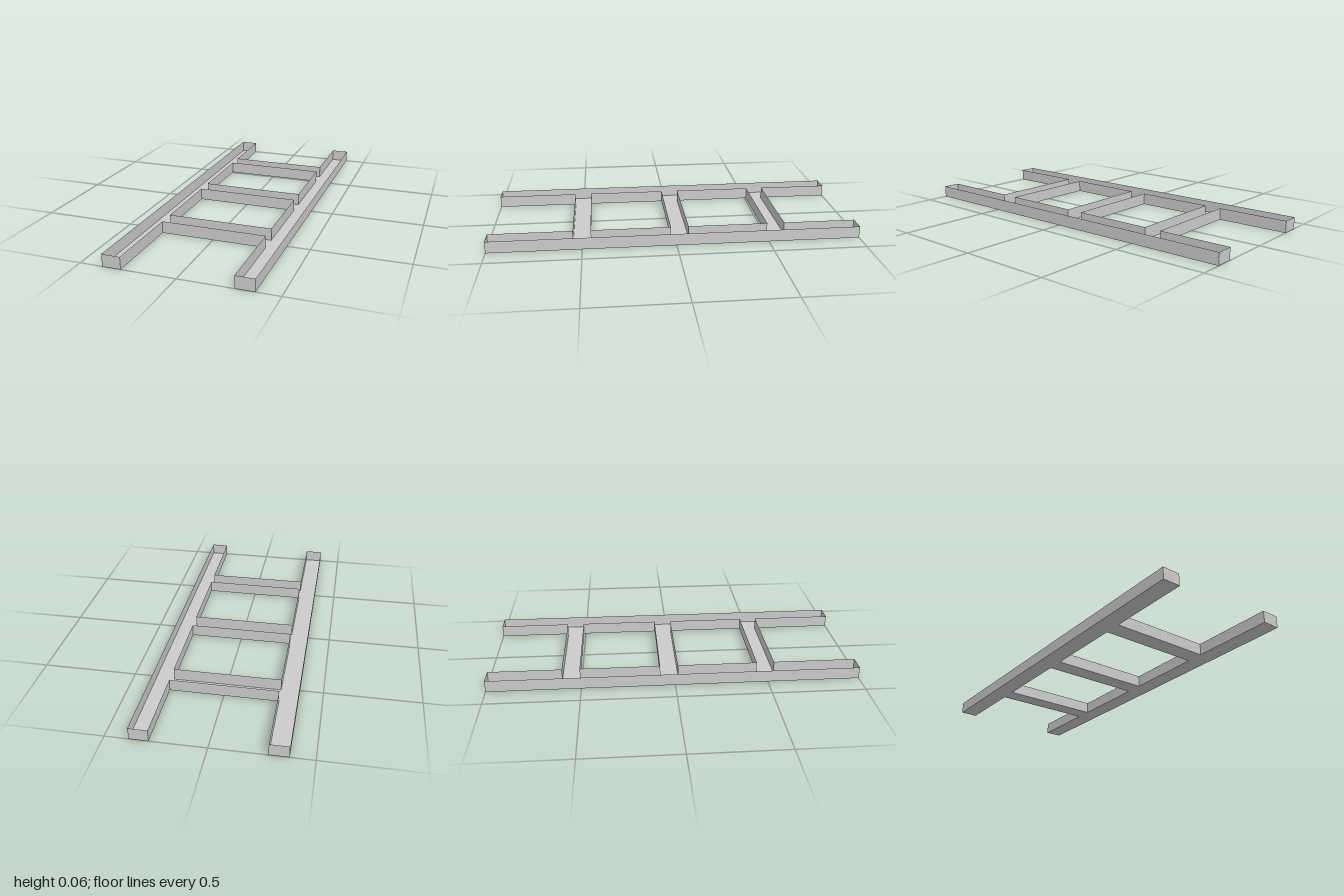
import * as THREE from 'three';

const HEIGHT = 0.065;
const OUTER = 0.38;
const INNER = 0.283;
const END = 1;
// Front-to-back extent of each rung
const RUNGS = [[-0.605, -0.51], [-0.075, 0.022], [0.455, 0.55]];

// Thin upright walls following a closed [x, z] loop
function wallsAlong(loop) {
  const positions = [];
  loop.forEach(([x0, z0], i) => {
    const [x1, z1] = loop[(i + 1) % loop.length];
    positions.push(
      x0, 0, z0, x0, HEIGHT, z0, x1, HEIGHT, z1,
      x0, 0, z0, x1, HEIGHT, z1, x1, 0, z1
    );
  });
  const geometry = new THREE.BufferGeometry();
  geometry.setAttribute('position', new THREE.Float32BufferAttribute(positions, 3));
  geometry.computeVertexNormals();
  return geometry;
}

const toPoints = (loop) => loop.map(([x, z]) => new THREE.Vector2(x, z));

export function createModel() {
  const group = new THREE.Group();
  group.name = 'ladderTray';
  const material = new THREE.MeshStandardMaterial({
    color: 0xcccccc, flatShading: true, side: THREE.DoubleSide,
  });
  const add = (name, geometry) => {
    const mesh = new THREE.Mesh(geometry, material);
    mesh.name = name;
    group.add(mesh);
  };

  // Ladder outline: two rails with open ends beyond the first and last rung
  const back = RUNGS[0][0];
  const front = RUNGS[RUNGS.length - 1][1];
  const outline = [
    [-OUTER, -END], [-INNER, -END], [-INNER, back], [INNER, back],
    [INNER, -END], [OUTER, -END], [OUTER, END], [INNER, END],
    [INNER, front], [-INNER, front], [-INNER, END], [-OUTER, END],
  ];

  // Openings between neighbouring rungs, wound the opposite way
  const openings = RUNGS.slice(1).map(([next], i) => {
    const start = RUNGS[i][1];
    return [[-INNER, start], [-INNER, next], [INNER, next], [INNER, start]];
  });

  // Floor of the rails and rungs
  const shape = new THREE.Shape(toPoints(outline));
  openings.forEach((loop) => shape.holes.push(new THREE.Path(toPoints(loop))));
  add('floor', new THREE.ShapeGeometry(shape).rotateX(Math.PI / 2));

  // Open-topped walls around the outline and each opening
  add('outerWalls', wallsAlong(outline));
  openings.forEach((loop, i) => add(`openingWalls${i + 1}`, wallsAlong(loop)));

  return group;
}
